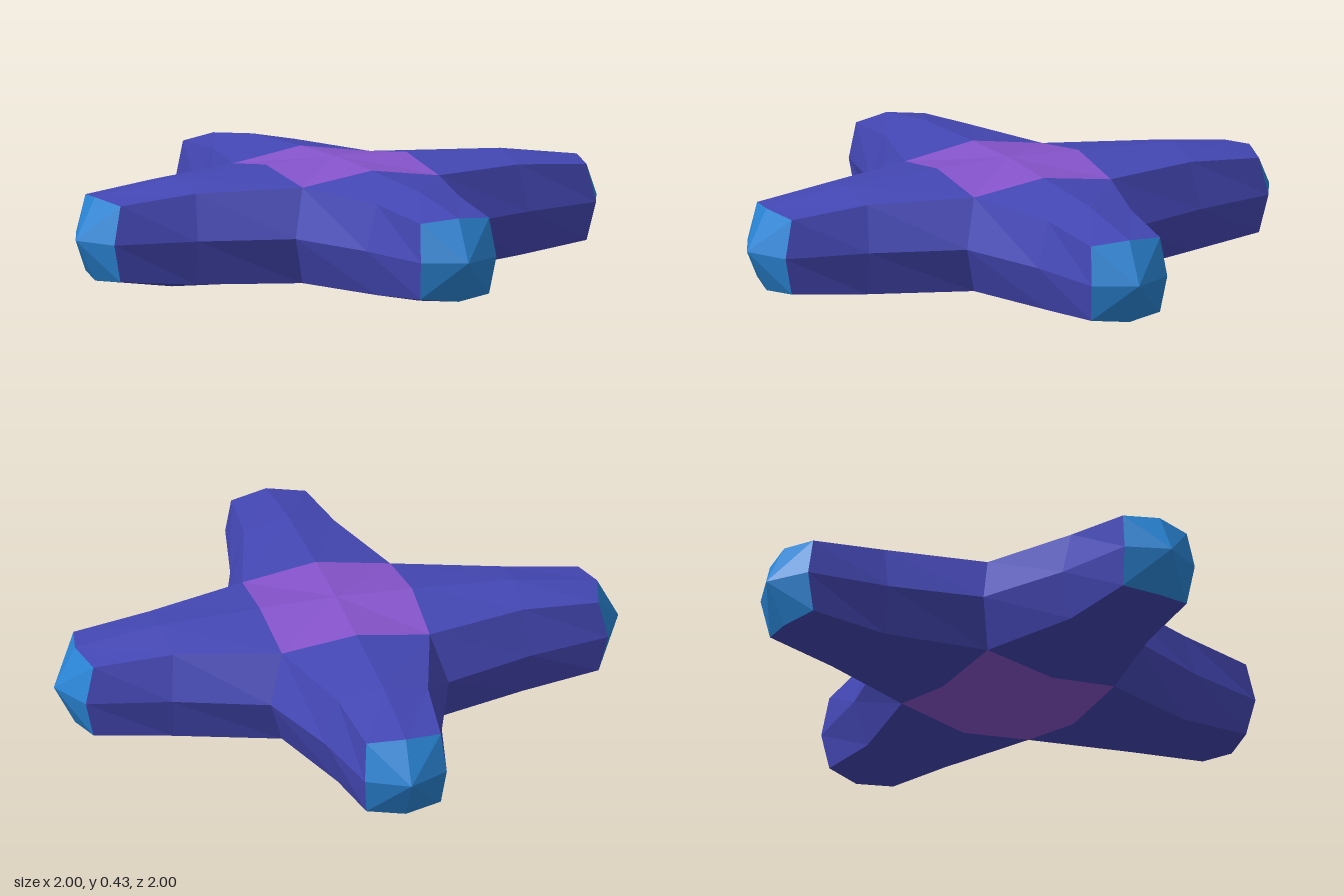
import * as THREE from 'three';

const paint = (color) => new THREE.MeshStandardMaterial({ color, flatShading: true });

// Flat-shaded mesh from a list of triangles, each three Vector3 corners
function facets(name, triangles, material) {
  const geometry = new THREE.BufferGeometry().setFromPoints(triangles.flat());
  geometry.computeVertexNormals();
  const mesh = new THREE.Mesh(geometry, material);
  mesh.name = name;
  return mesh;
}

// Eight-sided ring across an arm that runs along +z.
// side, corner and ridge each give [half width or height..., z]
function ring({ side, corner, ridge }) {
  const [sx, sz] = side, [cx, cy, cz] = corner, [ry, rz] = ridge;
  return [
    [sx, 0, sz], [cx, cy, cz], [0, ry, rz], [-cx, cy, cz],
    [-sx, 0, sz], [-cx, -cy, cz], [0, -ry, rz], [cx, -cy, cz],
  ].map((p) => new THREE.Vector3(...p));
}

// Triangles from a centre point around a closed ring
const fan = (centre, points) =>
  points.map((p, i) => [centre, p, points[(i + 1) % points.length]]);

export function createModel() {
  const model = new THREE.Group();
  model.name = 'fourArmedCross';
  const armMaterial = paint(0x4447b4);
  const tipMaterial = paint(0x2a85d6);
  const hubMaterial = paint(0x8654cc);

  // Arm sections: root, middle, end
  const rings = [
    { side: [0.315, 0.315], corner: [0.262, 0.166, 0.262], ridge: [0.205, 0.27] },
    { side: [0.205, 0.635], corner: [0.16, 0.158, 0.62], ridge: [0.189, 0.63] },
    { side: [0.145, 0.925], corner: [0.132, 0.132, 0.895], ridge: [0.145, 0.925] },
  ].map(ring);

  const armTriangles = [];
  for (let r = 0; r < rings.length - 1; r++) {
    for (let i = 0; i < 8; i++) {
      const j = (i + 1) % 8;
      const a = rings[r][i], b = rings[r][j], c = rings[r + 1][j], d = rings[r + 1][i];
      armTriangles.push([a, b, c], [a, c, d]);
    }
  }
  const tipTriangles = fan(new THREE.Vector3(0, 0, 1), rings[2]);

  // Four equal arms with faceted tips
  ['frontArm', 'leftArm', 'backArm', 'rightArm'].forEach((name, i) => {
    const arm = new THREE.Group();
    arm.name = name;
    arm.add(facets('limb', armTriangles, armMaterial), facets('tip', tipTriangles, tipMaterial));
    arm.rotation.y = (i * Math.PI) / 2;
    model.add(arm);
  });

  // Domed square in the middle, above and below, meeting the arm roots
  const rim = [];
  for (let i = 0; i < 4; i++) {
    for (const p of [rings[0][2], rings[0][1]]) {
      rim.push(p.clone().applyAxisAngle(new THREE.Vector3(0, 1, 0), (i * Math.PI) / 2));
    }
  }
  const hubTriangles = fan(new THREE.Vector3(0, 0.213, 0), rim);
  const hubTop = facets('hubTop', hubTriangles, hubMaterial);
  const hubBottom = facets('hubBottom', hubTriangles, hubMaterial);
  hubBottom.rotation.x = Math.PI;
  model.add(hubTop, hubBottom);

  // Lift the body so it stands on the ground
  model.children.forEach((part) => { part.position.y = 0.213; });
  return model;
}
